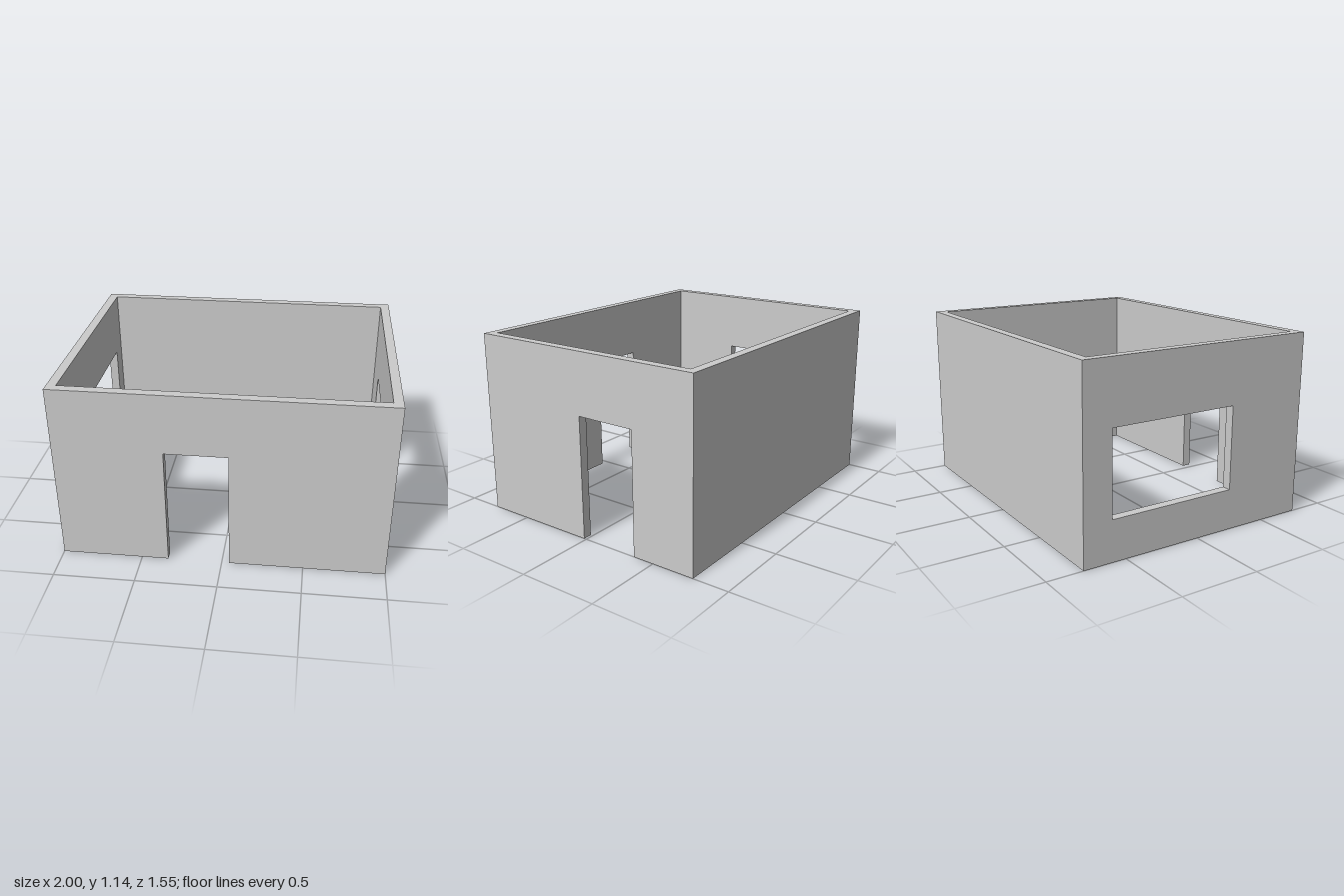
import * as THREE from 'three';

const W = 2, D = 1.546, H = 1.145, T = 0.057; // outer size and wall thickness
const OPENING_TOP = 0.765;

// Wall panel with its outer face towards local +z and mitred ends
function wallGeometry(length, { door, window } = {}) {
  const h = length / 2;
  const outline = [[-h, 0]];
  if (door) {
    const [a, b] = door;
    outline.push([a, 0], [a, OPENING_TOP], [b, OPENING_TOP], [b, 0]);
  }
  outline.push([h, 0], [h, H], [-h, H]);
  const shape = new THREE.Shape(outline.map(([x, y]) => new THREE.Vector2(x, y)));

  if (window) {
    const [a, b, sill] = window;
    shape.holes.push(new THREE.Path([
      new THREE.Vector2(a, sill), new THREE.Vector2(a, OPENING_TOP),
      new THREE.Vector2(b, OPENING_TOP), new THREE.Vector2(b, sill),
    ]));
  }

  const geometry = new THREE.ExtrudeGeometry(shape, { depth: T, bevelEnabled: false });
  // Pull the inner ends in by the wall thickness so corners meet on a mitre
  const p = geometry.attributes.position;
  for (let i = 0; i < p.count; i++) {
    const x = p.getX(i);
    if (p.getZ(i) < T / 2 && Math.abs(x) > h - 1e-4) p.setX(i, x - Math.sign(x) * T);
  }
  geometry.computeVertexNormals();
  return geometry;
}

export function createModel() {
  const group = new THREE.Group();
  group.name = 'room';
  const material = new THREE.MeshStandardMaterial({ color: 0xcccccc });

  // name, length, distance of outer face from centre, turn about y, opening
  const walls = [
    ['frontWall', W, D / 2, 0, { door: [-0.335, 0.045] }],
    ['backWall', W, D / 2, Math.PI, {}],
    ['doorSideWall', D, W / 2, Math.PI / 2, { door: [-0.015, 0.365] }],
    ['windowSideWall', D, W / 2, -Math.PI / 2, { window: [-0.59, 0.235, 0.252] }],
  ];
  for (const [name, length, distance, turn, opening] of walls) {
    const wall = new THREE.Mesh(wallGeometry(length, opening), material);
    wall.name = name;
    wall.rotation.y = turn;
    wall.position.set(Math.sin(turn) * (distance - T), 0, Math.cos(turn) * (distance - T));
    group.add(wall);
  }
  return group;
}
